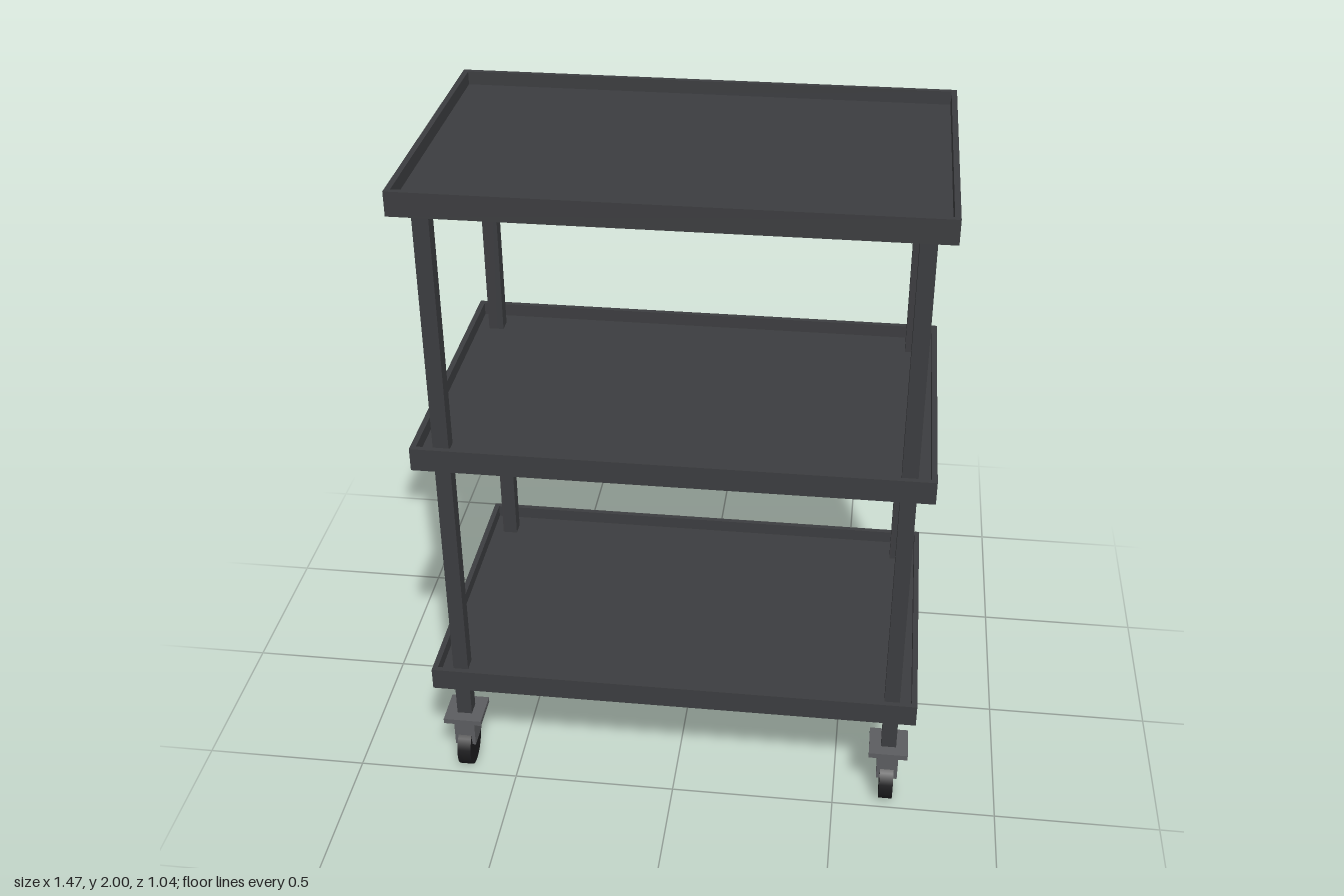
import * as THREE from 'three';

const mat = (color) => new THREE.MeshStandardMaterial({ color });

export function createModel() {
  const model = new THREE.Group();
  const frame = mat(0x3c3d40);
  const steel = mat(0x5c5d60);
  const housing = mat(0x4a4b4e);
  const rubber = mat(0x1c1c1e);
  const amber = mat(0xb8921e);

  // Box given by its extents on each axis
  const box = (name, [x0, x1], [y0, y1], [z0, z1], material, parent = model) => {
    const mesh = new THREE.Mesh(new THREE.BoxGeometry(x1 - x0, y1 - y0, z1 - z0), material);
    mesh.position.set((x0 + x1) / 2, (y0 + y1) / 2, (z0 + z1) / 2);
    mesh.name = name;
    parent.add(mesh);
    return mesh;
  };

  // Tray shelves: a floor with a raised rim
  const X = 0.735, Z0 = -0.392, Z1 = 0.518, RIM = 0.016, H = 0.07;
  const shelves = [['bottomShelf', 0.355], ['middleShelf', 1.15], ['topShelf', 1.93]];
  for (const [name, y] of shelves) {
    const shelf = new THREE.Group();
    shelf.name = name;
    const ys = [y, y + H];
    box('shelfFloor', [-X + RIM, X - RIM], [y, y + 0.03], [Z0 + RIM, Z1 - RIM], frame, shelf);
    box('frontRim', [-X, X], ys, [Z1 - RIM, Z1], frame, shelf);
    box('backRim', [-X, X], ys, [Z0, Z0 + RIM], frame, shelf);
    box('rightRim', [-X, -X + RIM], ys, [Z0 + RIM, Z1 - RIM], frame, shelf);
    box('leftRim', [X - RIM, X], ys, [Z0 + RIM, Z1 - RIM], frame, shelf);
    model.add(shelf);
  }

  // Corner posts, each standing on a caster
  const around = (c, half) => [c - half, c + half];
  const wheelGeometry = new THREE.CylinderGeometry(0.072, 0.072, 0.042, 24).rotateZ(Math.PI / 2);
  for (const x of [-0.662, 0.662]) {
    for (const z of [-0.305, 0.432]) {
      box('post', around(x, 0.023), [0.205, 1.935], around(z, 0.023), frame);
      const caster = new THREE.Group();
      caster.name = 'caster';
      box('casterPlate', around(x, 0.059), [0.19, 0.207], around(z, 0.059), steel, caster);
      box('casterFork', around(x, 0.032), [0.095, 0.19], around(z, 0.041), steel, caster);
      const wheel = new THREE.Mesh(wheelGeometry, rubber);
      wheel.position.set(x, 0.072, z);
      wheel.name = 'wheel';
      caster.add(wheel);
      model.add(caster);
    }
  }

  // Push handle at the back
  const handle = new THREE.Group();
  handle.name = 'pushHandle';
  box('handleBar', [-0.617, 0.617], [1.504, 1.541], [-0.518, -0.479], steel, handle);
  for (const x of [-0.533, 0.533]) {
    box('handleBracket', around(x, 0.0175), [1.507, 1.539], [-0.479, -0.392], steel, handle);
  }
  model.add(handle);

  // Power unit with indicator on the back left post
  const unit = new THREE.Group();
  unit.name = 'powerUnit';
  box('unitHousing', [0.632, 0.72], [0.622, 1.09], [-0.467, -0.392], housing, unit);
  box('indicator', [0.655, 0.698], [1.035, 1.056], [-0.474, -0.467], amber, unit);
  model.add(unit);

  return model;
}
